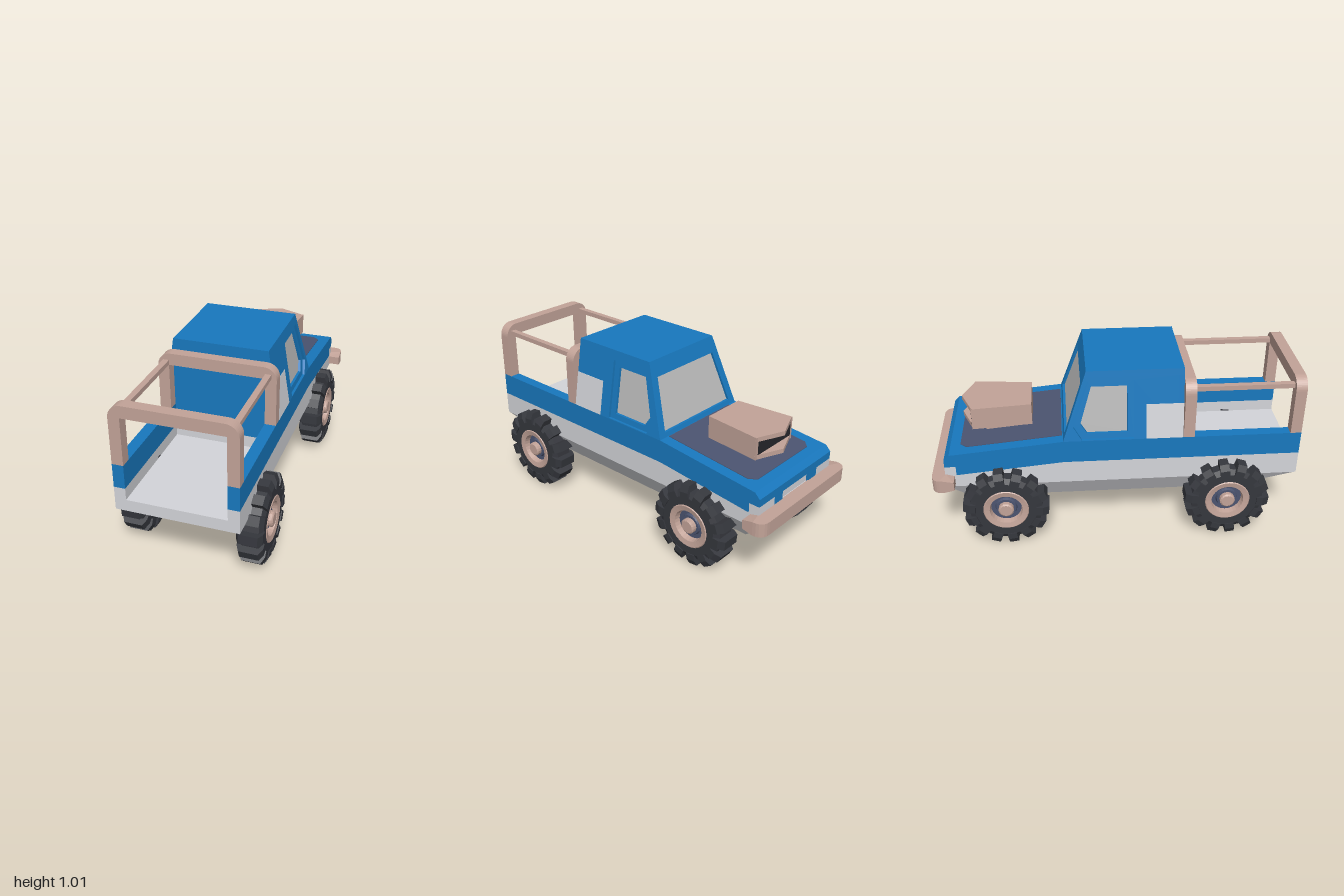
import * as THREE from 'three';
import { ConvexGeometry } from 'three/addons/geometries/ConvexGeometry.js';

const paint = (color) => new THREE.MeshStandardMaterial({ color, flatShading: true });
const BLUE = paint(0x1878be), GREY = paint(0xd3d4d9), TAN = paint(0xc2a398);
const SLATE = paint(0x4b5470), RUBBER = paint(0x35373d), DARK = paint(0x26272b);
const GLASS = paint(0xbababa);

export function createModel() {
  const model = new THREE.Group();

  const add = (name, geometry, material, parent = model) => {
    const mesh = new THREE.Mesh(geometry, material);
    mesh.name = name;
    parent.add(mesh);
    return mesh;
  };
  const box = (name, mat, x0, x1, y0, y1, z0, z1) => {
    const g = new THREE.BoxGeometry(x1 - x0, y1 - y0, z1 - z0);
    g.translate((x0 + x1) / 2, (y0 + y1) / 2, (z0 + z1) / 2);
    return add(name, g, mat);
  };
  const outline = (pts) => new THREE.Shape(pts.map(([a, b]) => new THREE.Vector2(a, b)));

  // Extrudes a shape and moves each vertex by a rule; flip is for mirrored rules.
  const warp = (shape, depth, rule, flip = false) => {
    const g = new THREE.ExtrudeGeometry(shape, { depth, bevelEnabled: false, curveSegments: 6 });
    const p = g.attributes.position;
    for (let i = 0; i < p.count; i++) p.setXYZ(i, ...rule(p.getX(i), p.getY(i), p.getZ(i)));
    if (flip) {
      const a = new THREE.Vector3(), b = new THREE.Vector3();
      for (let i = 0; i < p.count; i += 3) {
        a.fromBufferAttribute(p, i + 1);
        b.fromBufferAttribute(p, i + 2);
        p.setXYZ(i + 1, b.x, b.y, b.z);
        p.setXYZ(i + 2, a.x, a.y, a.z);
      }
    }
    g.computeVertexNormals();
    return g;
  };
  // Side profile (z, y) extruded across the full width
  const across = (pts, half) => warp(outline(pts), 2 * half, (z, y, d) => [half - d, y, z]);
  // Solid between mirrored levels given as [y, halfWidth, zBack, zFront]
  const hull = (levels) => new ConvexGeometry(levels.flatMap(([y, w, z0, z1]) =>
    [[w, z0], [-w, z0], [w, z1], [-w, z1]].map(([x, z]) => new THREE.Vector3(x, y, z))));

  // Lower body
  add('underbody', hull([[0.235, 0.245, 0.68, -0.81], [0.362, 0.32, 1, -0.93]]), GREY);
  add('lowerFrontBody', across([[0.355, 0.36], [0.355, 0.49], [-0.29, 0.49], [-0.87, 0.433],
    [-0.93, 0.433], [-0.93, 0.36]], 0.32), GREY);
  const bed = outline([[-0.32, 0.36], [0.32, 0.36], [0.32, 0.49], [0.26, 0.49], [0.26, 0.425],
    [-0.26, 0.425], [-0.26, 0.49], [-0.32, 0.49]]);
  add('cargoBed', warp(bed, 0.645, (x, y, d) => [x, y, 0.355 + d]), GREY);

  // Upper body: bed sides, door band and sloping hood
  for (const s of [-1, 1])
    box('bedSide', BLUE, s * 0.29 - 0.03, s * 0.29 + 0.03, 0.49, 0.62, 0.355, 1);
  add('upperBody', across([[0.355, 0.49], [0.355, 0.62], [-0.29, 0.62], [-0.9, 0.56], [-0.93, 0.53],
    [-0.93, 0.487], [-0.87, 0.487], [-0.87, 0.433], [-0.29, 0.49]], 0.32), BLUE);

  // Nose: lights, posts and grille
  for (const s of [-1, 1]) {
    box('headlight', GREY, s * 0.255 - 0.065, s * 0.255 + 0.065, 0.433, 0.487, -0.93, -0.87);
    box('grillePost', BLUE, s * 0.155 - 0.035, s * 0.155 + 0.035, 0.433, 0.487, -0.93, -0.87);
  }
  box('grille', GREY, -0.12, 0.12, 0.433, 0.487, -0.915, -0.87);

  // Hood panel following the slope
  const hoodY = (z) => 0.62 + (z + 0.29) * 0.0984;
  const hoodShape = outline([[-0.255, -0.295], [0.255, -0.295], [0.255, -0.81], [0.22, -0.845],
    [-0.22, -0.845], [-0.255, -0.81]]);
  add('hoodPanel', warp(hoodShape, 0.01, (x, z, d) => [x, hoodY(z) + 0.003 - d, z]), SLATE);

  // Air scoop with an open, pointed mouth
  const flat = (top) => (x, z, d) => [x, top - d, z];
  box('scoopBase', TAN, -0.1, 0.1, 0.56, 0.63, -0.71, -0.52);
  add('scoopBody', warp(outline([[-0.125, -0.455], [0.125, -0.455], [0.158, -0.78], [-0.158, -0.78]]),
    0.125, flat(0.745)), TAN);
  const prow = outline([[-0.158, -0.775], [0.158, -0.775], [0, -0.84]]);
  for (const top of [0.745, 0.645]) add('scoopLip', warp(prow, 0.025, flat(top)), TAN);
  box('scoopMouth', DARK, -0.14, 0.14, 0.645, 0.72, -0.783, -0.775);

  // Wraparound bumper with tapered ends
  const bumper = new THREE.Shape();
  bumper.moveTo(0.385, -0.88);
  bumper.lineTo(0.385, -0.94);
  bumper.quadraticCurveTo(0.385, -1, 0.325, -1);
  bumper.lineTo(-0.325, -1);
  bumper.quadraticCurveTo(-0.385, -1, -0.385, -0.94);
  bumper.lineTo(-0.385, -0.88);
  [[-0.32, -0.88], [-0.32, -0.925], [0.32, -0.925], [0.32, -0.88]].forEach((p) => bumper.lineTo(...p));
  add('bumper', warp(bumper, 1, (x, z, d) => [x, 0.403 + (0.5 - d) * (z > -0.9 ? 0.05 : 0.076), z]), TAN);

  // Cab shell, tapering towards the roof
  const cabX = (y) => 0.32 - (y - 0.62) * 0.162;
  const cabZ = (y) => -0.29 + (y - 0.62) * 0.338;
  add('roof', hull([[0.97, cabX(0.97), 0.355, cabZ(0.97)], [1.005, cabX(1.005), 0.355, cabZ(1.005)]]), BLUE);
  add('cabBack', hull([[0.62, 0.32, 0.355, 0.325], [0.97, cabX(0.97), 0.355, 0.325]]), BLUE);

  const wallPts = [[0.355, 0.62], [0.355, 0.972], [cabZ(0.972), 0.972], [-0.29, 0.62]];
  const doorPts = [[0.09, 0.624], [0.09, 0.95], [-0.155, 0.95], [-0.235, 0.70], [-0.19, 0.624]];
  const panePts = [[0.055, 0.655], [0.055, 0.915], [-0.135, 0.915], [-0.195, 0.71], [-0.16, 0.655]];
  const withHole = (pts, hole) => {
    const s = outline(pts);
    s.holes.push(outline(hole));
    return s;
  };
  for (const s of [-1, 1]) {
    const side = (name, shape, inset, depth, mat) => add(name,
      warp(shape, depth, (z, y, d) => [s * (cabX(y) - inset - d), y, z], s < 0), mat);
    side('cabSide', withHole(wallPts, doorPts), 0, 0.045, BLUE);
    side('windowFrame', withHole(doorPts, panePts), 0.014, 0.03, BLUE);
    side('sideWindow', outline(panePts), 0.028, 0.01, GLASS);
    side('rearQuarterPanel', outline([[0.355, 0.621], [0.355, 0.815], [0.155, 0.815], [0.155, 0.621]]),
      -0.002, 0.01, GREY);
  }

  // Windscreen in its sloping frame
  const screen = (w0, w1, y0, y1) => [[-w0, y0], [w0, y0], [w1, y1], [-w1, y1]];
  const glassPts = screen(0.288, 0.243, 0.645, 0.92);
  const slope = (inset) => (x, y, d) => [x, y, cabZ(y) + inset + d];
  add('windscreenFrame', warp(withHole(screen(0.32, cabX(0.972), 0.62, 0.972), glassPts), 0.03, slope(0)), BLUE);
  add('windscreen', warp(outline(glassPts), 0.01, slope(0.014)), GLASS);

  // Bed hoops and the rails joining them
  const hoop = new THREE.Shape();
  hoop.moveTo(-0.32, 0.62);
  hoop.lineTo(-0.32, 0.875);
  hoop.absarc(-0.25, 0.875, 0.07, Math.PI, Math.PI / 2, true);
  hoop.absarc(0.25, 0.875, 0.07, Math.PI / 2, 0, true);
  [[0.32, 0.62], [0.26, 0.62], [0.26, 0.88], [-0.26, 0.88], [-0.26, 0.62]].forEach((p) => hoop.lineTo(...p));
  for (const z of [0.357, 0.94])
    add('bedHoop', warp(hoop, 0.06, (x, y, d) => [x, y, z + d]), TAN);
  for (const s of [-1, 1])
    box('bedRail', TAN, s * 0.275 - 0.016, s * 0.275 + 0.016, 0.882, 0.908, 0.41, 0.945);

  // Wheels: the axis is built along y, then turned to face +x
  const lathe = (pts, n) => new THREE.LatheGeometry(pts.map(([r, y]) => new THREE.Vector2(r, y)), n)
    .rotateZ(-Math.PI / 2);
  const tyre = lathe([[0, -0.06], [0.165, -0.06], [0.2, -0.045], [0.2, 0.045], [0.17, 0.062],
    [0.125, 0.062], [0.115, 0.02]], 28);
  const rim = lathe([[0.126, 0.06], [0.12, 0.066], [0.09, 0.06], [0.083, 0.025]], 28);
  const dish = lathe([[0.09, 0.028], [0.06, 0.028], [0.055, 0.042], [0, 0.042]], 24);
  const hub = lathe([[0.042, 0.025], [0.042, 0.064], [0.034, 0.07], [0, 0.07]], 16);
  const lugShape = outline([[-0.068, 0.165], [0.068, 0.165], [0.068, 0.2], [0.05, 0.235],
    [-0.05, 0.235], [-0.068, 0.2]]);
  const lug = warp(lugShape, 0.052, (x, y, d) => [x, y, d - 0.026]);
  const LUGS = 14;

  for (const [x, z] of [[1, -0.545], [1, 0.68], [-1, -0.615], [-1, 0.61]]) {
    const wheel = new THREE.Group();
    wheel.name = 'wheel';
    add('tyre', tyre, RUBBER, wheel);
    add('rim', rim, TAN, wheel);
    add('wheelDish', dish, SLATE, wheel);
    add('hub', hub, TAN, wheel);
    for (let i = 0; i < LUGS; i++)
      add('treadLug', lug, RUBBER, wheel).rotation.x = (i + 0.3) * 2 * Math.PI / LUGS;
    wheel.position.set(x * 0.328, 0.235, z);
    if (x < 0) wheel.rotation.y = Math.PI;
    model.add(wheel);
  }
  return model;
}
